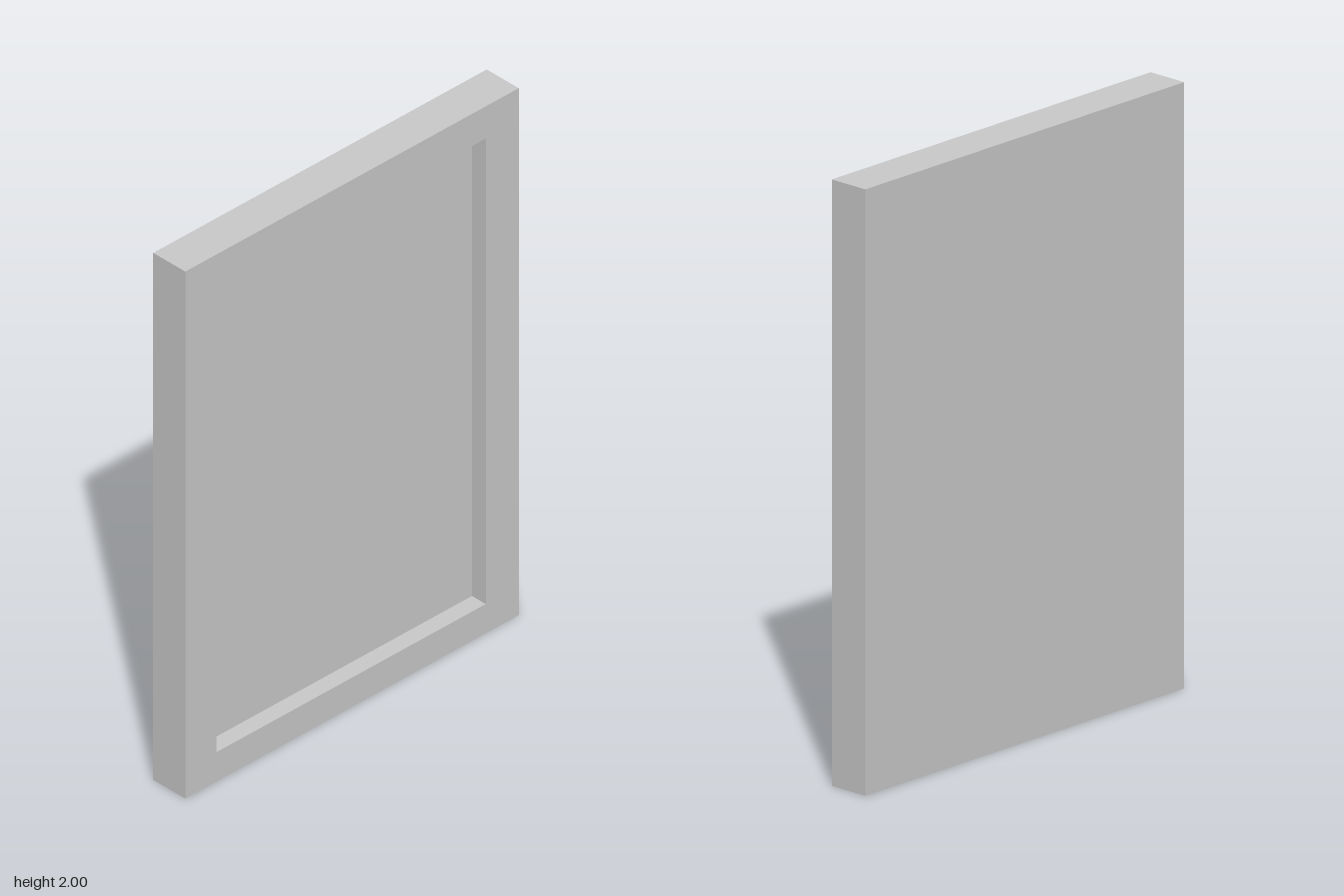
import * as THREE from 'three';

const WIDTH = 1.454, HEIGHT = 2, DEPTH = 0.144, RECESS = 0.062;
const OPENING = { left: -0.592, right: 0.583, bottom: 0.111, top: 1.878 };

// Trace a rectangle onto a shape or a hole path
function rect(path, x0, y0, x1, y1) {
  path.moveTo(x0, y0);
  path.lineTo(x1, y0);
  path.lineTo(x1, y1);
  path.lineTo(x0, y1);
  path.closePath();
  return path;
}

export function createModel() {
  const group = new THREE.Group();
  group.name = 'framedPanel';
  const material = new THREE.MeshStandardMaterial({ color: 0xcccccc });

  // Both layers share one outline, so their sides run flush
  function addLayer(name, depth, z, hole) {
    const shape = rect(new THREE.Shape(), -WIDTH / 2, 0, WIDTH / 2, HEIGHT);
    if (hole) shape.holes.push(hole);
    const geometry = new THREE.ExtrudeGeometry(shape, { depth, bevelEnabled: false });
    const mesh = new THREE.Mesh(geometry, material);
    mesh.name = name;
    mesh.position.z = z;
    group.add(mesh);
  }

  // Solid back panel, the floor of the recess
  addLayer('backPanel', DEPTH - RECESS, -DEPTH / 2);

  // Front frame around the slightly off-centre opening
  const { left, right, bottom, top } = OPENING;
  addLayer('frame', RECESS, DEPTH / 2 - RECESS, rect(new THREE.Path(), left, bottom, right, top));

  return group;
}
